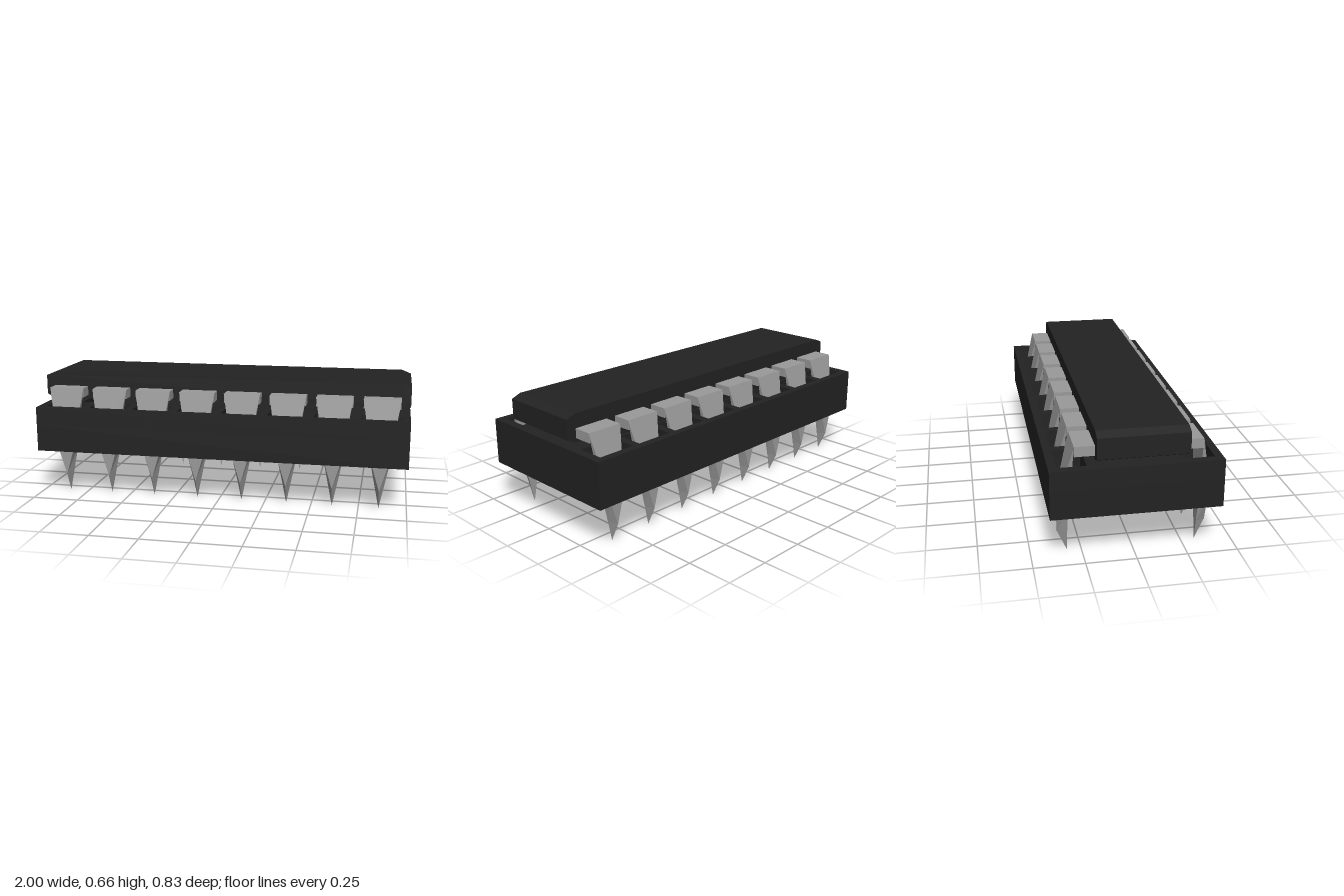
import * as THREE from 'three';

const dark = new THREE.MeshStandardMaterial({ color: 0x222222, flatShading: true });
const metal = new THREE.MeshStandardMaterial({ color: 0x999999, flatShading: true });

const PINS = 8, PITCH = 0.2443;
const pinX = (i) => (i - (PINS - 1) / 2) * PITCH;

function rect(Type, x0, x1, y0, y1) {
  return new Type([[x0, y0], [x1, y0], [x1, y1], [x0, y1]].map(([x, y]) => new THREE.Vector2(x, y)));
}

// Flat layer of the socket frame, optionally with a slot for every pin
function frameLayer(bottom, top, slots) {
  const shape = rect(THREE.Shape, -1, 1, -0.415, 0.415);
  shape.holes.push(rect(THREE.Path, -0.8, 0.8, -0.222, 0.222));
  if (slots) {
    for (let i = 0; i < PINS; i++) {
      for (const [z0, z1] of [[0.235, 0.375], [-0.375, -0.235]]) {
        shape.holes.push(rect(THREE.Path, pinX(i) - 0.1, pinX(i) + 0.1, z0, z1));
      }
    }
  }
  const geo = new THREE.ExtrudeGeometry(shape, { depth: top - bottom, bevelEnabled: false });
  return geo.rotateX(-Math.PI / 2).translate(0, bottom, 0);
}

// Tapered leg lofted through cross-sections; shift moves its upper end inwards
function legGeometry(shift) {
  // y, outer z, outer half width, inner z, inner half width
  const sections = [
    [0.585, 0.32, 0.097, 0.32, 0.097],
    [0.34, 0.368, 0.054, 0.32, 0.058],
    [0.247, 0.368, 0.042, 0.32, 0.05],
    [0.11, 0.368, 0.001, 0.32, 0.022],
    [0.003, 0.32, 0, 0.32, 0],
  ];
  const rings = sections.map(([y, zo, wo, zi, wi]) => {
    const s = shift * THREE.MathUtils.clamp((y - 0.22) / 0.25, 0, 1);
    return [[-wo, y, zo - s], [wo, y, zo - s], [wi, y, zi - s], [-wi, y, zi - s]];
  });
  const pos = [];
  for (let i = 0; i < rings.length - 1; i++) {
    const a = rings[i], b = rings[i + 1];
    for (let k = 0; k < 4; k++) {
      const n = (k + 1) % 4;
      pos.push(...b[k], ...b[n], ...a[n], ...b[k], ...a[n], ...a[k]);
    }
  }
  const geo = new THREE.BufferGeometry();
  geo.setAttribute('position', new THREE.Float32BufferAttribute(pos, 3));
  geo.computeVertexNormals();
  return geo;
}

function pinRow(name, shift) {
  const row = new THREE.Group();
  row.name = name;
  const leg = legGeometry(shift);
  const zEnd = 0.32 - shift, zStart = 0.15;
  const shoulder = new THREE.BoxGeometry(0.19, 0.05, zEnd - zStart).translate(0, 0.56, (zStart + zEnd) / 2);
  for (let i = 0; i < PINS; i++) {
    const pin = new THREE.Group();
    pin.name = 'pin' + (i + 1);
    pin.position.x = pinX(i);
    const legMesh = new THREE.Mesh(leg, metal);
    legMesh.name = 'pinLeg';
    const shoulderMesh = new THREE.Mesh(shoulder, metal);
    shoulderMesh.name = 'pinShoulder';
    pin.add(legMesh, shoulderMesh);
    row.add(pin);
  }
  return row;
}

export function createModel() {
  const model = new THREE.Group();
  model.name = 'socketedChip';

  // Socket: open frame with pin slots in its upper layer
  const socket = new THREE.Group();
  socket.name = 'socket';
  const base = new THREE.Mesh(frameLayer(0.247, 0.39, false), dark);
  base.name = 'socketBase';
  const top = new THREE.Mesh(frameLayer(0.39, 0.49, true), dark);
  top.name = 'socketTop';
  socket.add(base, top);

  // Chip body: bar with chamfered ends, set slightly forward
  const profile = new THREE.Shape([
    [-0.96, 0.515], [0.96, 0.515], [1, 0.535], [1, 0.64],
    [0.95, 0.66], [-0.95, 0.66], [-1, 0.64], [-1, 0.535],
  ].map(([x, y]) => new THREE.Vector2(x, y)));
  const body = new THREE.Mesh(
    new THREE.ExtrudeGeometry(profile, { depth: 0.44, bevelEnabled: false }).translate(0, 0, -0.195), dark);
  body.name = 'chipBody';

  // Two rows of pins, the rear one turned around
  const front = pinRow('frontPins', 0);
  const back = pinRow('backPins', 0.027);
  back.rotation.y = Math.PI;

  model.add(socket, body, front, back);
  return model;
}
